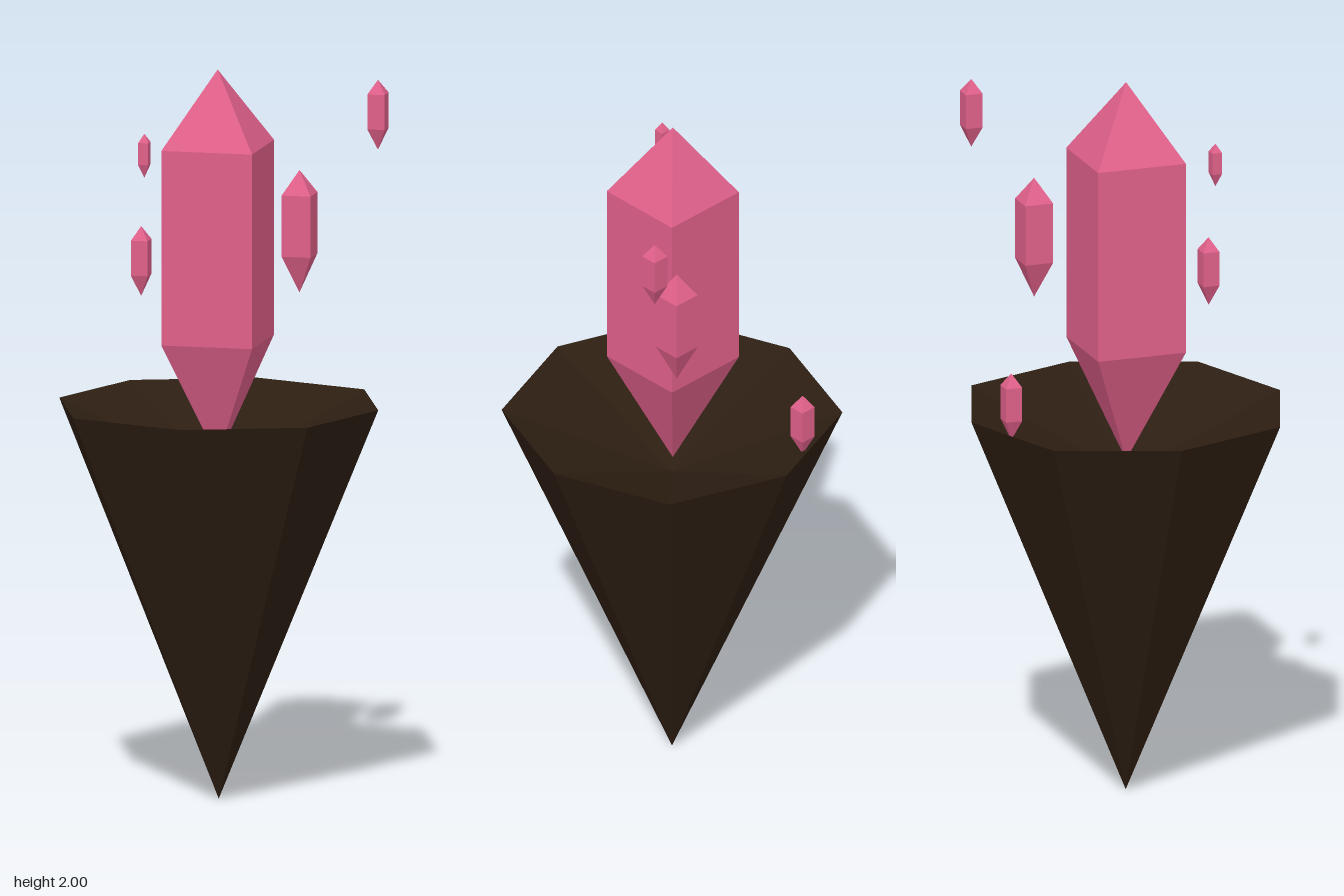
import * as THREE from 'three';

const pink = new THREE.MeshStandardMaterial({ color: 0xe0608a, flatShading: true });
const brown = new THREE.MeshStandardMaterial({ color: 0x2d1e12, flatShading: true });

// Faceted solid of revolution from [radius, y] pairs, listed upwards on the outside
function faceted(profile, sides, start) {
  const points = profile.map(([r, y]) => new THREE.Vector2(r, y));
  return new THREE.LatheGeometry(points, sides, start).toNonIndexed();
}

// Square crystal with a long point below and a short point above
function crystal(name, x, z, half, bottom, top) {
  const h = top - bottom;
  const r = half * Math.SQRT2;
  const geometry = faceted([[0, 0], [r, 0.305 * h], [r, 0.805 * h], [0, h]], 4, Math.PI / 4);
  geometry.computeVertexNormals();
  const mesh = new THREE.Mesh(geometry, pink);
  mesh.name = name;
  mesh.position.set(x, bottom, z);
  return mesh;
}

// Eight-sided spike of rock with a sunken top
function rock() {
  const geometry = faceted([[0, 0.005], [0.443, 1.085], [0, 0.89]], 8, 0);
  const p = geometry.attributes.position;
  for (let i = 0; i < p.count; i++) {
    // The diagonal corners stand out a little further
    if (Math.abs(p.getX(i)) > 0.1 && Math.abs(p.getZ(i)) > 0.1) {
      p.setXYZ(i, p.getX(i) * 1.038, p.getY(i), p.getZ(i) * 1.038);
    }
  }
  geometry.computeVertexNormals();
  const mesh = new THREE.Mesh(geometry, brown);
  mesh.name = 'rockBase';
  return mesh;
}

export function createModel() {
  const model = new THREE.Group();
  model.name = 'floatingCrystals';
  model.add(rock(), crystal('mainCrystal', -0.003, 0, 0.126, 0.935, 2));

  // Small crystals floating around: x, z, half width, bottom, top
  const shards = [
    [0.176, -0.199, 0.04, 1.365, 1.70],
    [0.367, -0.31, 0.024, 1.745, 1.936],
    [-0.173, 0.175, 0.023, 1.402, 1.593],
    [-0.158, 0.2, 0.014, 1.73, 1.85],
    [-0.127, -0.375, 0.023, 1.065, 1.253],
  ];
  shards.forEach((s, i) => model.add(crystal(`smallCrystal${i + 1}`, ...s)));
  return model;
}
